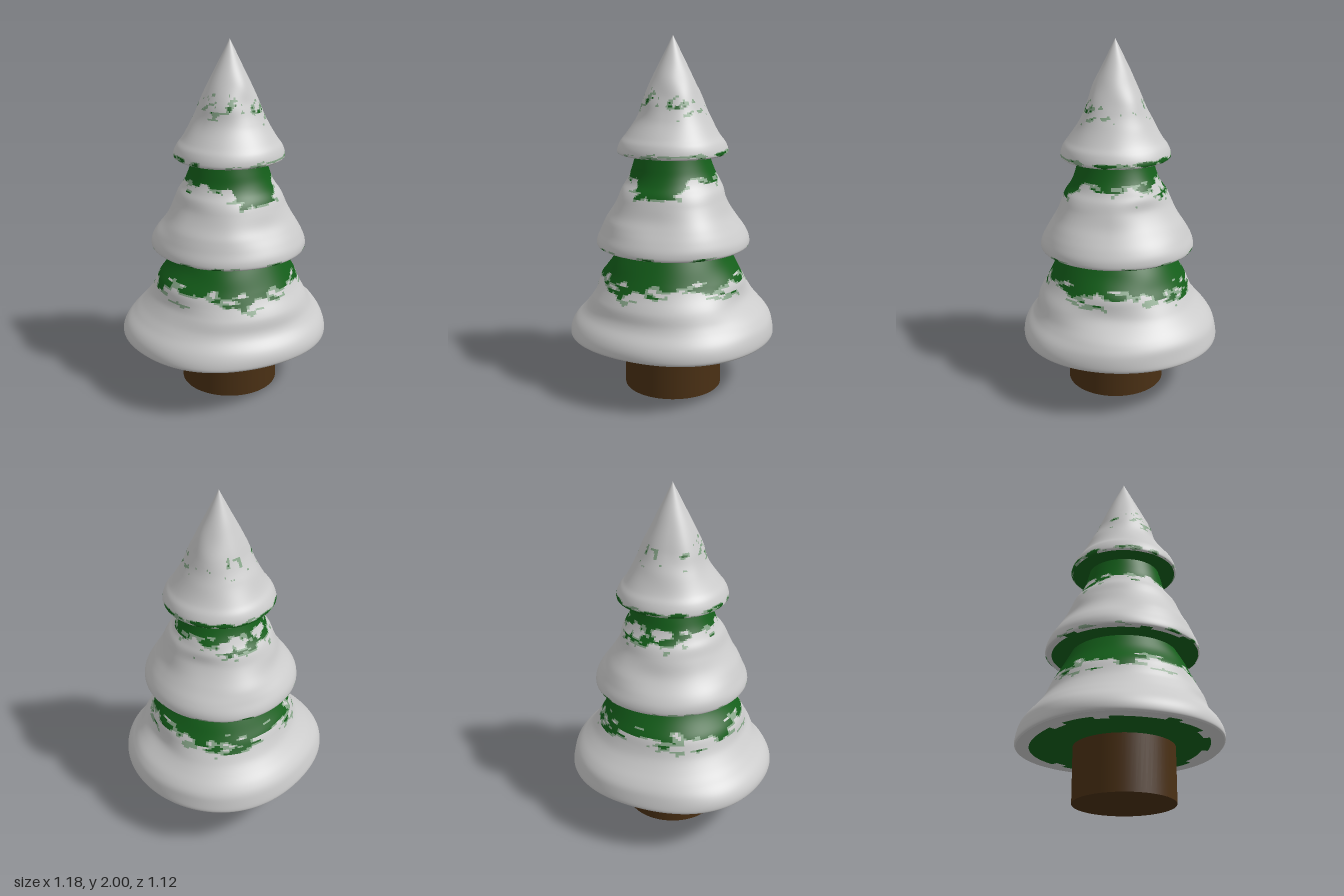
import * as THREE from 'three';

const SEG = 160, ROWS = 64;
const material = (color) => new THREE.MeshStandardMaterial({ color });
const snow = material(0xcccccc), thinSnow = material(0x86a588);
const needles = material(0x145f1a), bark = material(0x4a3014);

const hash = (a, b) => {
  const s = Math.sin(a * 127.1 + b * 311.7) * 43758.5453;
  return s - Math.floor(s);
};
const ramp = (a, b, v) => THREE.MathUtils.smoothstep(v, a, b);
const bell = (v, mid, width) => Math.exp(-(((v - mid) / width) ** 2));

// Smooth value noise that wraps round the tree after n cells
function noise(turn, v, n, seed) {
  const u = turn * n, i = Math.floor(u), j = Math.floor(v);
  const fu = ramp(0, 1, u - i), fv = ramp(0, 1, v - j);
  const h = (a, b) => hash(((a % n) + n) % n + seed, b + seed * 3);
  const low = h(i, j) + (h(i + 1, j) - h(i, j)) * fu;
  const high = h(i, j + 1) + (h(i + 1, j + 1) - h(i, j + 1)) * fu;
  return low + (high - low) * fv;
}

// Rings of points joined to a surface, its faces sorted by how much snow lies on them
function surface(name, rows, point, green) {
  const positions = [], lists = [[], [], []];
  for (let i = 0; i <= rows; i++)
    for (let j = 0; j < SEG; j++) positions.push(...point(i / rows, j / SEG));
  for (let i = 0; i < rows; i++) {
    for (let j = 0; j < SEG; j++) {
      const k = (j + 1) % SEG;
      const a = i * SEG + j, b = i * SEG + k, c = b + SEG, d = a + SEG;
      const g = green((i + 0.5) / rows, (j + 0.5) / SEG, positions[a * 3 + 1]);
      lists[g > 0.55 ? 2 : g > 0.42 ? 1 : 0].push(a, b, c, a, c, d);
    }
  }
  const whole = new THREE.BufferGeometry();
  whole.setAttribute('position', new THREE.Float32BufferAttribute(positions, 3));
  whole.setIndex(lists.flat());
  whole.computeVertexNormals();
  const group = new THREE.Group();
  group.name = name;
  lists.forEach((list, n) => {
    if (!list.length) return;
    const part = new THREE.BufferGeometry();
    part.setAttribute('position', whole.attributes.position);
    part.setAttribute('normal', whole.attributes.normal);
    part.setIndex(list);
    const mesh = new THREE.Mesh(part, [snow, thinSnow, needles][n]);
    mesh.name = ['snow', 'thinSnow', 'needles'][n];
    group.add(mesh);
  });
  return group;
}

// One tier: a bell-shaped skirt with a wavy outline and a flat underside
function tier({ name, profile, center, depth, wave, seed, rim, green }) {
  const curve = new THREE.CatmullRomCurve3(
    profile.map(([r, y]) => new THREE.Vector3(r, y, 0)), false, 'centripetal');
  const base = profile[0][1], top = profile.at(-1)[1];
  const at = (r, y, turn) => {
    const t = turn * Math.PI * 2, f = (y - base) / (top - base);
    const fade = Math.max(0, 1 - f);
    const outline = 1 + wave * fade * (Math.cos(4 * t) * -0.6 + Math.sin(3 * t + 0.5) * 0.5 + Math.sin(5 * t) * 0.25);
    const bumps = 1 + 0.09 * (noise(turn, y * 9, 9, seed) - 0.5) * Math.sin(Math.PI * Math.min(1, Math.max(0, f)));
    const q = r * outline * bumps;
    const toAxis = ramp(0, 1, f);
    return [
      center[0] + (0.012 - center[0]) * toAxis + q * Math.sin(t), y,
      center[1] + (0.027 - center[1]) * toAxis + q * Math.cos(t) * (1 + (depth - 1) * fade),
    ];
  };
  const speckle = (turn, y) =>
    0.6 * noise(turn, y * 42, 30, seed + 5) + 0.4 * noise(turn, y * 80, 56, seed + 9);

  const group = new THREE.Group();
  group.name = name;
  group.add(surface('skirt', ROWS, (f, turn) => {
    const p = curve.getPoint(f);
    return at(Math.max(p.x, 0), p.y, turn);
  }, (f, turn, y) => green(y, Math.cos(turn * Math.PI * 2), speckle(turn, y) - 0.5)));
  group.add(surface('underside', 16,
    (f, turn) => at(profile[0][0] * f, base, turn),
    (f, turn) => (f + 0.08 * (noise(turn, 1, 24, seed) - 0.5) > rim ? 0 : 1)));
  return group;
}

export function createModel() {
  const tree = new THREE.Group();
  tree.name = 'snowyTree';

  const trunk = new THREE.Mesh(new THREE.CylinderGeometry(0.278, 0.278, 0.32, 64), bark);
  trunk.name = 'trunk';
  trunk.position.set(0.013, 0.16, 0.027);
  tree.add(trunk);

  tree.add(tier({
    name: 'lowerTier', center: [0, 0], depth: 0.95, wave: 0.022, seed: 3, rim: 0.87,
    profile: [[0.585, 0.305], [0.594, 0.315], [0.592, 0.35], [0.573, 0.4], [0.535, 0.45], [0.492, 0.5],
      [0.455, 0.55], [0.427, 0.6], [0.403, 0.65], [0.375, 0.7], [0.343, 0.76], [0.3, 0.84], [0.29, 0.86]],
    green: (y, front, n) => ramp(0.52, 0.76, y) * 0.95 + n * 1.1 * ramp(0.4, 0.6, y) * (1 - ramp(0.69, 0.72, y)),
  }));
  tree.add(tier({
    name: 'middleTier', center: [0.011, 0.018], depth: 1.005, wave: 0.008, seed: 11, rim: 0.96,
    profile: [[0.425, 0.838], [0.434, 0.846], [0.432, 0.88], [0.41, 0.93], [0.38, 0.98], [0.342, 1.04],
      [0.312, 1.1], [0.288, 1.16], [0.262, 1.2], [0.237, 1.25], [0.22, 1.3], [0.203, 1.36], [0.198, 1.38]],
    green: (y, front, n) => {
      const line = 1.23 - 0.07 * ramp(0.75, 0.95, front);
      const spread = front > 0 ? 0.07 : 0.07 - 0.12 * front;
      return ramp(line - spread, line + spread, y) + n * 1.2 * (1 - ramp(line, line + 0.03, y)) * ramp(0.95, 1.15, y)
        + bell(y, 0.84, 0.02) * (0.38 + n);
    },
  }));
  tree.add(tier({
    name: 'upperTier', center: [0.011, 0.025], depth: 0.985, wave: 0.008, seed: 23, rim: 1.2,
    profile: [[0.302, 1.358], [0.311, 1.366], [0.308, 1.39], [0.292, 1.425], [0.265, 1.46], [0.233, 1.51],
      [0.205, 1.56], [0.186, 1.6], [0.167, 1.65], [0.142, 1.71], [0.1, 1.8], [0.045, 1.91], [0, 2]],
    green: (y, front, n) => bell(y, 1.63, 0.14) * (0.26 + 0.07 * front + n * 0.95)
      + bell(y, 1.37, 0.025) * (0.45 - 0.15 * front + n),
  }));
  return tree;
}
